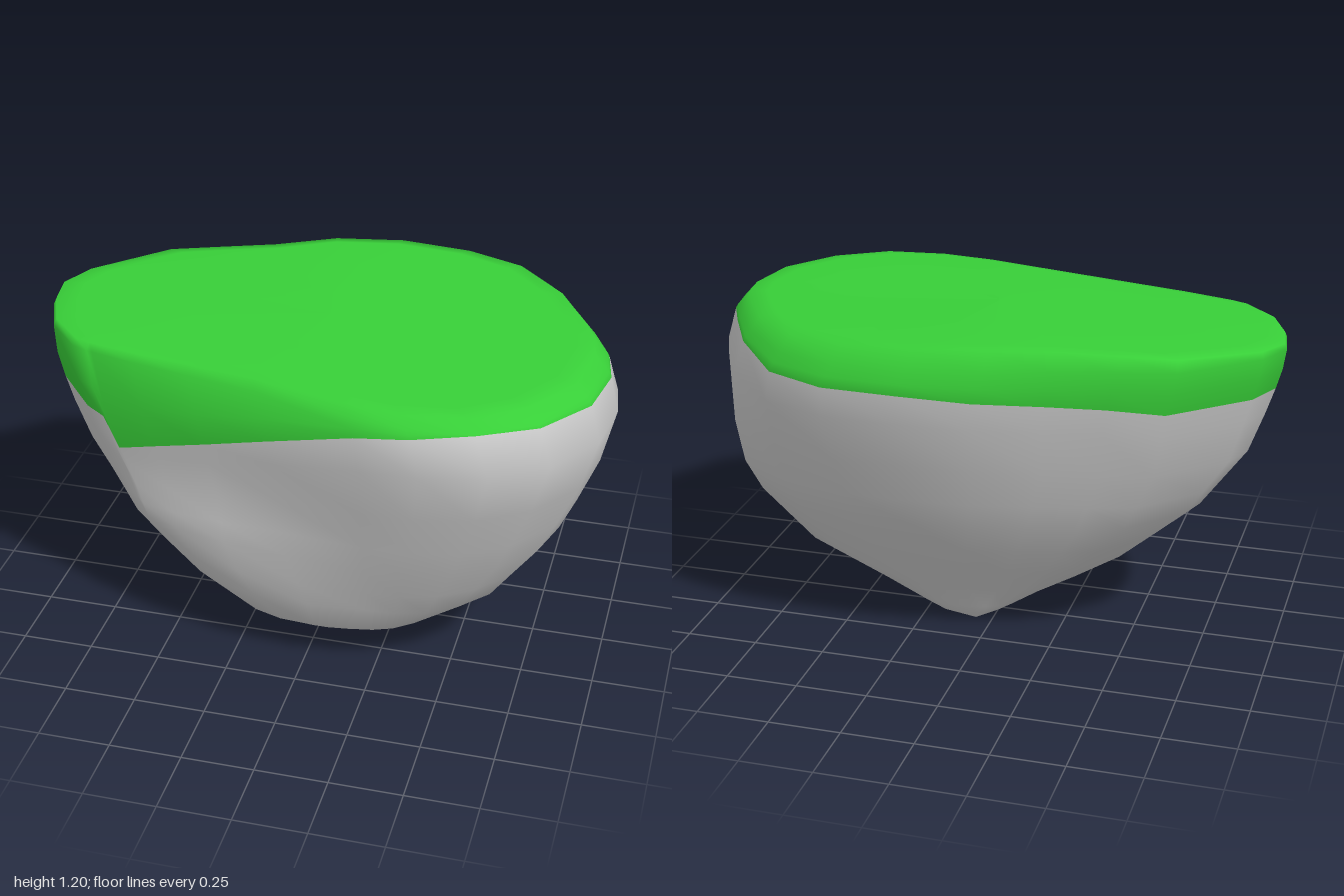
import * as THREE from 'three';

// Plan outline: x, z, and the height where grass meets rock
const outline = [
  [-1, -0.06, 0.97], [-0.94, -0.19, 0.97], [-0.69, -0.41, 0.97], [-0.5, -0.46, 0.99],
  [-0.3, -0.51, 1.0], [-0.08, -0.6, 1.02], [0.17, -0.65, 1.04], [0.43, -0.64, 1.04],
  [0.64, -0.57, 1.05], [0.82, -0.39, 1.08], [0.92, -0.21, 1.09], [0.98, -0.08, 1.09],
  [1, 0.05, 1.08], [0.97, 0.28, 1.09], [0.84, 0.49, 1.1], [0.66, 0.62, 1.11],
  [0.44, 0.65, 1.09], [0.24, 0.62, 1.06], [-0.1, 0.53, 0.96], [-0.35, 0.48, 0.88],
  [-0.56, 0.44, 0.82], [-0.72, 0.4, 0.77], [-0.74, 0.395, 0.89], [-0.8, 0.37, 0.91],
  [-0.92, 0.24, 0.94], [-0.98, 0.08, 0.96],
];

// Extents by height: y, left x, right x, back z, front z
const extents = [
  [0, 0.06, 0.06, -0.1, -0.1], [0.03, -0.02, 0.2, -0.13, 0.02], [0.07, -0.12, 0.29, -0.16, 0.27],
  [0.16, -0.29, 0.47, -0.21, 0.39], [0.28, -0.47, 0.67, -0.3, 0.44], [0.5, -0.72, 0.83, -0.44, 0.53],
  [0.74, -0.89, 0.94, -0.55, 0.6], [1.0, -0.975, 1, -0.65, 0.65], [1.1, -1, 0.95, -0.64, 0.61],
  [1.15, -0.99, 0.9, -0.6, 0.56],
];

// Corner fullness lower down: squareness, height where it starts, how fast it sets in
const corners = {
  frontPlusX: [1.8, 1, 0.9], frontMinusX: [3, 0.7, 2.5],
  backPlusX: [4, 1, 2.5], backMinusX: [2.4, 1, 0.9],
};

function extentAt(y) {
  let k = 1;
  while (k < extents.length - 1 && extents[k][0] < y) k++;
  const a = extents[k - 1], b = extents[k];
  const t = THREE.MathUtils.clamp((y - a[0]) / (b[0] - a[0]), 0, 1);
  return a.map((v, i) => THREE.MathUtils.lerp(v, b[i], t));
}

// Point on the side wall; the section changes from the outline to an uneven oval
function wall([x, z], y) {
  const [, left, right, back, front] = extentAt(y);
  const [power, start, rate] = corners[(z > 0 ? 'front' : 'back') + (x > 0 ? 'PlusX' : 'MinusX')];
  const v0 = z / 0.65;
  const angle = Math.atan2(v0, x), c = Math.cos(angle), s = Math.sin(angle);
  const radius = (Math.abs(c) ** power + Math.abs(s) ** power) ** (-1 / power);
  const blend = THREE.MathUtils.clamp((start - y) * rate, 0, 1);
  const u = THREE.MathUtils.lerp(x, c * radius, blend);
  const v = THREE.MathUtils.lerp(v0, s * radius, blend);
  return [(left + right) / 2 + u * (right - left) / 2, y, (back + front) / 2 + v * (front - back) / 2];
}

// Gently sloping plateau, highest towards the back
function plateau(x, z) {
  const slope = THREE.MathUtils.clamp((0.56 - z) / 1.06, 0, 1);
  return 1.15 + 0.05 * slope * (1 - 0.7 * Math.abs(x + 0.05)) - 0.02 * Math.max(0, -x);
}

export function createModel() {
  const group = new THREE.Group();
  group.name = 'floatingIsland';
  const rows = [];

  // Plateau rings from the centre out to the rim
  for (const s of [0, 0.5, 0.92, 1]) {
    rows.push(outline.map((p) => {
      const [x, , z] = wall(p, 1.15);
      return [x * s, plateau(x * s, z * s) - (s === 1 ? 0.006 : 0), z * s];
    }));
  }
  // Grass lip down to the seam
  rows.push(outline.map((p) => wall(p, Math.max(1.115, p[2] + 0.01))));
  rows.push(outline.map((p) => wall(p, (1.115 + p[2]) / 2)));
  const seamRow = rows.length;
  rows.push(outline.map((p) => wall(p, p[2])));
  // Rock tapering to the tip
  for (const level of [0.9, 0.74, 0.6, 0.5, 0.38, 0.28, 0.16, 0.07, 0.03, 0]) {
    rows.push(outline.map((p) => wall(p, level > 0.5 ? 0.5 + (level - 0.5) * (p[2] - 0.5) / 0.5 : level)));
  }

  // One shared surface, so shading runs smoothly across the seam
  const n = outline.length;
  const bands = (from, to) => {
    const index = [];
    for (let r = from; r < to; r++) {
      for (let i = 0; i < n; i++) {
        const a = r * n + i, b = r * n + (i + 1) % n, c = a + n, d = b + n;
        if (r > 0) index.push(a, b, c);
        if (r < rows.length - 2) index.push(b, d, c);
      }
    }
    return index;
  };
  const surface = new THREE.BufferGeometry();
  surface.setAttribute('position', new THREE.Float32BufferAttribute(rows.flat(2), 3));
  surface.setIndex(bands(0, rows.length - 1));
  surface.computeVertexNormals();

  const addPart = (name, from, to, color) => {
    const geometry = surface.clone();
    geometry.setIndex(bands(from, to));
    const mesh = new THREE.Mesh(geometry, new THREE.MeshStandardMaterial({ color }));
    mesh.name = name;
    group.add(mesh);
  };
  addPart('grassTop', 0, seamRow, 0x38cf38);
  addPart('rockBase', seamRow, rows.length - 1, 0xcccccc);
  return group;
}
